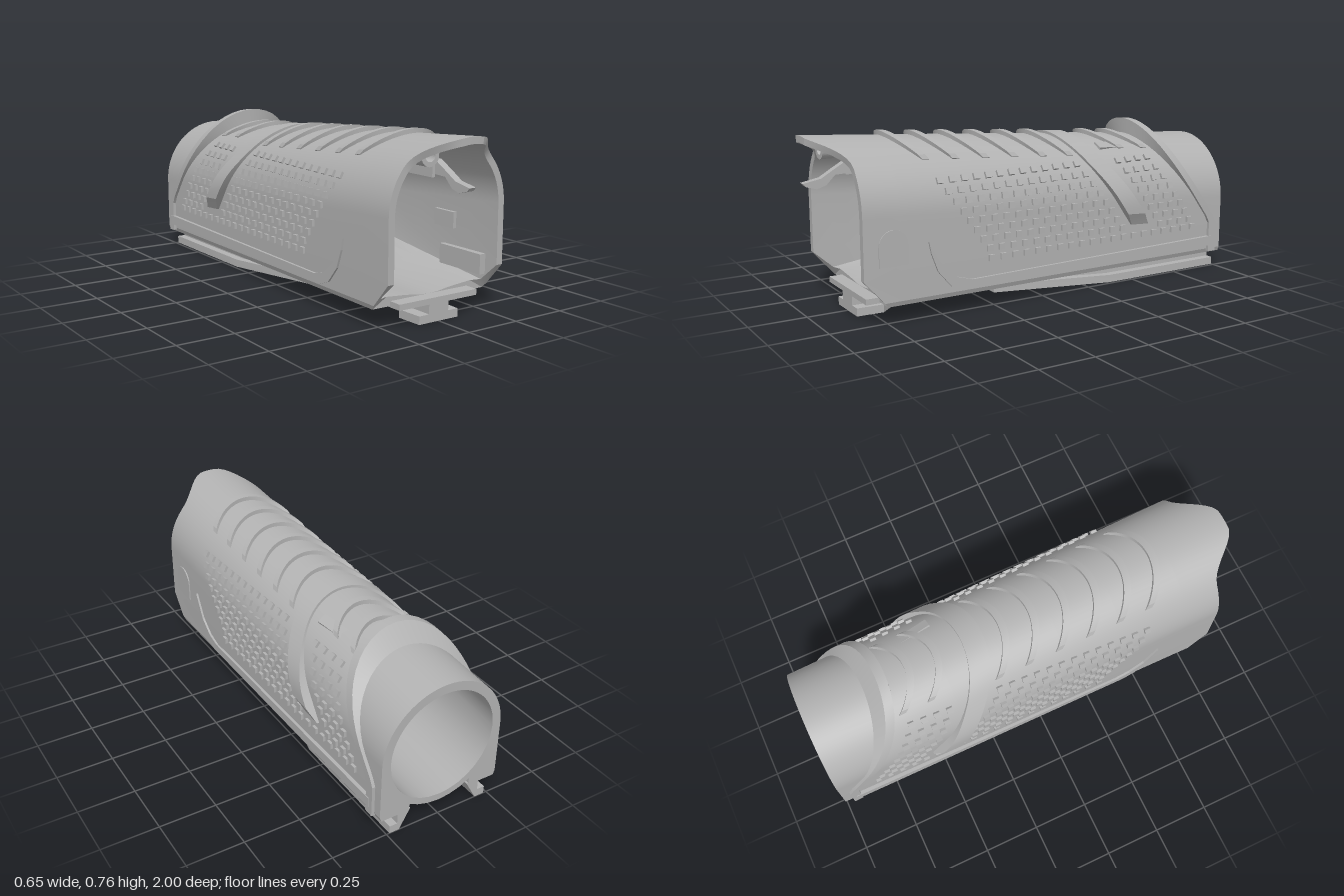
import * as THREE from 'three';
import { toCreasedNormals } from 'three/addons/utils/BufferGeometryUtils.js';

const HALF = Math.PI / 2;
const { lerp, clamp, smoothstep } = THREE.MathUtils;

// Loft through rings of [x, y, z] points; wrap joins last ring to first, otherwise ends are capped
function loft(rings, wrap = false) {
  const n = rings[0].length, m = rings.length, idx = [];
  for (let i = 0; i < (wrap ? m : m - 1); i++) {
    for (let k = 0; k < n; k++) {
      const j = (i + 1) % m, l = (k + 1) % n;
      const a = i * n + k, b = i * n + l, c = j * n + l, d = j * n + k;
      idx.push(a, b, c, a, c, d);
    }
  }
  if (!wrap) {
    const e = (m - 1) * n;
    for (let k = 1; k < n - 1; k++) idx.push(0, k + 1, k, e, e + k, e + k + 1);
  }
  const g = new THREE.BufferGeometry();
  g.setAttribute('position', new THREE.Float32BufferAttribute(rings.flat(2), 3));
  g.setIndex(idx);
  return toCreasedNormals(g, 0.35);
}

// Sleeve dimensions along z (front 1, back -1)
const T = z => (1 - z) / 2;
const radius = z => lerp(0.295, 0.285, T(z));
const centre = z => lerp(0.465, 0.345, T(z));

// Point on the outer skin: angle from the top, continuing straight down the sides
function skin(a, z, h) {
  const r = radius(z) + h, s = Math.sign(a), b = Math.abs(a);
  return b <= HALF
    ? [r * Math.sin(a), centre(z) + r * Math.cos(a), z]
    : [s * r, centre(z) - (b - HALF) * radius(z), z];
}

// Raised band running over the skin from -max to max
function band(max, zAt, width, hAt, tail = () => 0, steps = 40) {
  const rings = [];
  for (let i = 0; i <= steps; i++) {
    const a = lerp(-max, max, i / steps), z = zAt(a), h = hAt(a), w = width / 2;
    rings.push([skin(a, Math.max(-1, z - w - tail(a)), -0.01), skin(a, z - w, h),
      skin(a, z + w, h), skin(a, z + w, -0.01)]);
  }
  return loft(rings);
}

// Sleeve: outer skin front to back, then the bore back to front
function sleeve() {
  const N = 18;
  const under = x => 0.345 - Math.sqrt(0.275 ** 2 - x * x);
  const frontZ = (x, y) => y < 0.2 ? 0.76 + (y - 0.08) * 0.875
    : y < 0.5 ? 0.865
      : 0.865 + 0.135 * (1 - smoothstep(x, 0.04, 0.225));
  const mirror = half => [...half, ...half.slice(1, -1).reverse().map(([x, y, z]) => [-x, y, z])];
  const outer = (z0, front) => {
    const pts = [], w = lerp(0.03, 0.15, clamp((0.13 - z0) / 0.51, 0, 1));
    const c = x => z0 > 0.1305 ? 0.08 : under(x);
    for (let i = 0; i <= N; i++) {
      const a = HALF * i / N;
      const z = front ? frontZ(0.295 * Math.sin(a), 0.465 + 0.295 * Math.cos(a)) : z0;
      pts.push(skin(a, z, 0));
    }
    const r = radius(z0);
    [[r, 0.2], [r, 0.1], [r - 0.008, 0.08], [w, 0.08], [w, c(w)], [w * 0.7, c(w * 0.7)],
      [w * 0.35, c(w * 0.35)], [0, c(0)]]
      .forEach(([x, y]) => pts.push([x, y, front ? frontZ(x, y) : z0]));
    return mirror(pts);
  };
  const floor = [[0.265, 0.2], [0.265, 0.11], [0.22, 0.11], [0.17, 0.11], [0.13, 0.11],
    [0.09, 0.108], [0.045, 0.102], [0, 0.1]];
  const inner = ring => {
    const half = ring.slice(0, N + 9).map(([, , z], k) => {
      const t = T(z), r = lerp(0.266, 0.245, t), a = HALF * k / N;
      if (k <= N) return [r * Math.sin(a), lerp(0.465, 0.345, t) + r * Math.cos(a), z];
      // The lower corners close into the round bore by mid length
      const j = k - N, b = HALF * j / 8, f = floor[j - 1], u = clamp(0.865 - z, 0, 1);
      return [lerp(f[0], 0.245 * Math.cos(b), u), lerp(f[1], 0.345 - 0.245 * Math.sin(b), u), z];
    });
    return mirror(half);
  };
  const outs = [0.865, 0.7, 0.4, 0.131, 0.13, -0.13, -0.38, -0.7, -1].map((z, i) => outer(z, i === 0));
  return loft([...outs, ...outs.map(inner).reverse()], true);
}

// Hooked under rail with a sloping inner wall, splaying out from the middle
function rail(s) {
  const rings = [[0.16, 0], [-0.38, 1], [-1, 1]].map(([z, t]) => {
    const web = lerp(0.055, 0.2, t), lip = lerp(0.1, 0.236, t);
    const ring = [[web, 0.035], [lip, 0.035], [lip, 0], [lerp(0.04, 0.19, t), 0],
      [lerp(0.01, 0.14, t), 0.09], [web, 0.085]].map(([x, y]) => [s * x, y, z]);
    return s > 0 ? ring : [ring[0], ...ring.slice(1).reverse()];
  });
  return loft(rings);
}

const shapeOf = pts => new THREE.Shape(pts.map(p => new THREE.Vector2(...p)));
const extrude = (shape, depth) =>
  new THREE.ExtrudeGeometry(shape, { depth, bevelEnabled: false, curveSegments: 16 });
// Side profile (z, y) extruded across x
const slab = (pts, x0, x1) => extrude(shapeOf(pts), x1 - x0).rotateY(-HALF).translate(x1, 0, 0);
// Plan outline (x, z) extruded through y
const plan = (pts, y0, y1) => extrude(shapeOf(pts), y1 - y0).rotateX(HALF).translate(0, y1, 0);
const box = (x0, x1, y0, y1, z0, z1) => new THREE.BoxGeometry(x1 - x0, y1 - y0, z1 - z0)
  .translate((x0 + x1) / 2, (y0 + y1) / 2, (z0 + z1) / 2);

export function createModel() {
  const group = new THREE.Group();
  const grey = new THREE.MeshStandardMaterial({ color: 0xb2b2b2 });
  grey.name = 'grey polymer';
  const add = (name, geo) => {
    const m = new THREE.Mesh(geo, grey);
    m.name = name;
    group.add(m);
    return m;
  };

  add('sleeve', sleeve());

  // Top ribs
  const rib = (z0, max) => add('topRib', band(max,
    a => z0 - 0.1 * (1 - Math.cos(a)) / (1 - Math.cos(max)), 0.032,
    a => 0.004 + 0.015 * Math.pow(Math.max(0, 1 - (a / max) ** 2), 0.35), undefined, 24));
  [0.64, 0.5, 0.355, 0.21, 0.065, -0.075].forEach(z => rib(z, 0.75));
  [-0.38, -0.51].forEach(z => rib(z, 0.62));

  // Slanted middle collar, thickest near its lower ends
  add('middleCollar', band(1.92, a => -0.2 - 0.74 * (0.69 - skin(a, -0.35, 0)[1]), 0.095, a => {
    const b = Math.abs(a);
    return 0.012 + 0.026 * smoothstep(b, 0.9, 1.65) - 0.028 * smoothstep(b, 1.72, 1.92);
  }));

  // Raised rear collar
  add('rearCollar', band(2.48,
    a => -0.62 - 0.32 * Math.min(1, Math.max(0, (0.66 - skin(a, -0.8, 0)[1]) / 0.41)), 0.042,
    a => 0.014 + 0.056 * Math.max(0, Math.cos(a)) ** 2,
    a => 0.075 * Math.max(0, Math.cos(a))));

  // Grip studs on both sides
  const studGeo = new THREE.BoxGeometry(0.024, 0.027, 0.027);
  const stud = (y, z) => {
    const dy = Math.max(0, y - centre(z)), r = radius(z);
    const x = Math.sqrt(r * r - dy * dy);
    for (const s of [1, -1]) {
      const m = add('gripStud', studGeo);
      m.position.set(s * x, y, z);
      m.rotation.z = s * Math.asin(dy / r);
    }
  };
  for (let row = 0; row < 9; row++) {
    const y = 0.57 - row * 0.0432, last = row === 8;
    const start = last ? 0.285 : 0.51 - row * 0.031;
    for (let i = 0; i < (last ? 20 : 13); i++) stud(y, start - i * 0.058);
    if (!last) for (let i = 0; i < 4; i++) stud(y - 0.006, -0.42 - row * 0.029 - i * 0.058);
  }

  // Side ledges and under rails
  const ledge = [[0.58, 0.33], [0.52, 0.22], [0.45, 0.165], [0.38, 0.145], [-0.94, 0.165],
    [-0.94, 0.12], [0.42, 0.108], [0.48, 0.13], [0.54, 0.2], [0.57, 0.28]];
  for (const s of [1, -1]) {
    add('sideLedge', s > 0 ? slab(ledge, 0.27, 0.302) : slab(ledge, -0.302, -0.27));
    add('underRail', rail(s));
  }

  // Front foot
  add('footTop', box(-0.2, 0.2, 0.075, 0.1, 0.62, 0.82));
  add('footStem', box(-0.05, 0.05, 0.03, 0.08, 0.71, 0.82));
  add('footPlate', plan([[-0.1, 0.82], [0.1, 0.82], [0.105, 0.7], [0.05, 0.64],
    [-0.05, 0.64], [-0.105, 0.7]], 0, 0.035));

  // Arched button on the left side
  const arch = [[0.8, 0.25]];
  for (let i = 0; i <= 12; i++) {
    const a = Math.PI * i / 12;
    arch.push([0.735 + 0.065 * Math.cos(a), 0.335 + 0.065 * Math.sin(a)]);
  }
  arch.push([0.67, 0.25]);
  add('sideButton', slab(arch, 0.285, 0.299));

  // Hollow pin boss under the dome
  const boss = new THREE.Shape();
  boss.moveTo(-0.043, 0.015);
  boss.lineTo(-0.043, 0);
  boss.absarc(0, 0, 0.043, Math.PI, Math.PI * 2, false);
  boss.lineTo(0.043, 0.045);
  const hole = new THREE.Path();
  hole.absarc(0, 0, 0.024, 0, Math.PI * 2, true);
  boss.holes.push(hole);
  add('pinBoss', extrude(boss, 0.12).translate(-0.11, 0.681, 0.76));

  // Lever, guide fin and inner tabs
  add('lever', slab([[1, 0.565], [0.985, 0.55], [0.94, 0.537], [0.9, 0.55], [0.86, 0.59],
    [0.6, 0.6], [0.6, 0.65], [0.8, 0.65], [0.87, 0.61], [0.92, 0.58]], -0.018, 0.015));
  add('guideFin', box(-0.031, -0.017, 0.58, 0.715, 0.6, 0.8));
  add('lowerTab', box(0.234, 0.28, 0.15, 0.235, 0.55, 0.8));
  add('sideTab', box(0.245, 0.28, 0.31, 0.38, 0.5, 0.62));
  const tab = add('slantedTab', new THREE.BoxGeometry(0.07, 0.045, 0.2));
  tab.position.set(-0.23, 0.495, 0.5);
  tab.rotation.z = -0.5;

  // Latch between the collars
  const latch = add('topLatch', new THREE.BoxGeometry(0.045, 0.03, 0.22));
  latch.position.set(0.135, 0.616, -0.46);
  latch.rotation.set(-0.06, 0.15, -0.5);
  return group;
}
